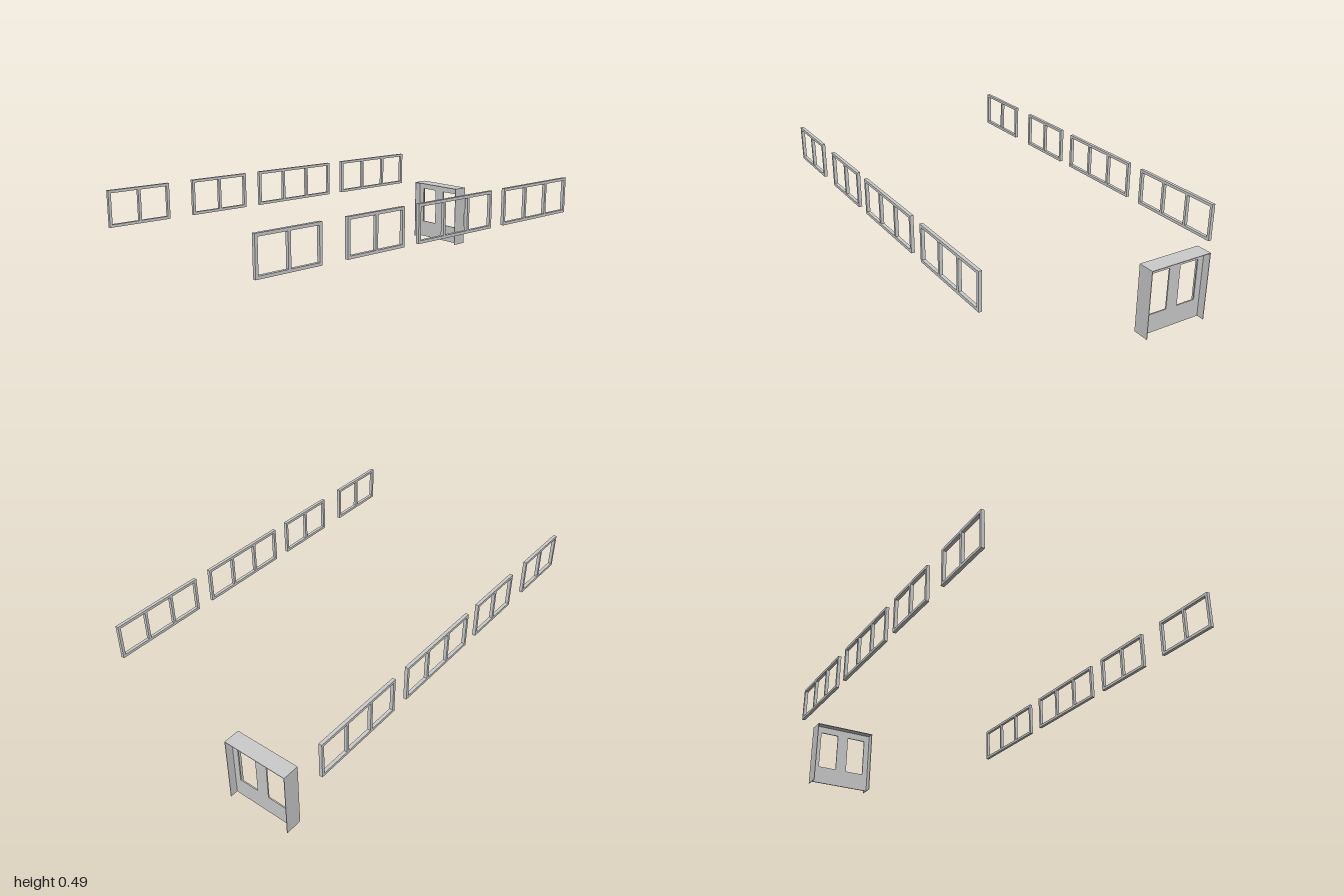
import * as THREE from 'three';

const material = new THREE.MeshStandardMaterial({ color: 0xcccccc, flatShading: true });

// Rectangular plate with rectangular holes [x0, x1, y0, y1], centred in depth
function plate(outer, holes, depth) {
  const rect = (path, [x0, x1, y0, y1]) => {
    path.moveTo(x0, y0);
    path.lineTo(x1, y0);
    path.lineTo(x1, y1);
    path.lineTo(x0, y1);
    path.closePath();
    return path;
  };
  const shape = rect(new THREE.Shape(), outer);
  shape.holes = holes.map((h) => rect(new THREE.Path(), h));
  const geometry = new THREE.ExtrudeGeometry(shape, { depth, bevelEnabled: false });
  return geometry.translate(0, 0, -depth / 2);
}

// Window frame with equal panes, lying along z
function windowFrame(length, panes) {
  const border = 0.0135, bar = 0.013, y0 = 0.315, y1 = 0.491;
  const pane = (length - 2 * border - (panes - 1) * bar) / panes;
  const holes = [];
  for (let i = 0; i < panes; i++) {
    const start = -length / 2 + border + i * (pane + bar);
    holes.push([start, start + pane, y0 + border, y1 - border]);
  }
  return plate([-length / 2, length / 2, y0, y1], holes, 0.016).rotateY(Math.PI / 2);
}

function createModel() {
  const group = new THREE.Group();
  const add = (name, geometry, x, y, z, parent = group) => {
    const mesh = new THREE.Mesh(geometry, material);
    mesh.name = name;
    mesh.position.set(x, y, z);
    parent.add(mesh);
  };

  // Window rows on both sides: [z start, z end, panes]
  const windows = [[0.683, 1, 2], [0.236, 0.553, 2], [-0.326, 0.152, 3], [-0.894, -0.414, 3]];
  for (const side of [-1, 1]) {
    windows.forEach(([z0, z1, panes], i) => {
      const name = `${side > 0 ? 'left' : 'right'}Window${i + 1}`;
      add(name, windowFrame(z1 - z0, panes), side * 0.585, 0, (z0 + z1) / 2);
    });
  }

  // Double door set midway in a thin, deep surround
  const door = new THREE.Group();
  door.name = 'doorway';
  door.position.set(-0.327, 0, -0.96);
  group.add(door);
  const width = 0.322, height = 0.328, depth = 0.08, wall = 0.003;
  for (const side of [-1, 1]) {
    add(side > 0 ? 'leftJamb' : 'rightJamb', new THREE.BoxGeometry(wall, height, depth),
      side * (width - wall) / 2, height / 2, 0, door);
  }
  add('lintel', new THREE.BoxGeometry(width - 2 * wall, wall, depth), 0, height - wall / 2, 0, door);
  const half = width / 2 - wall;
  add('doorPanel', plate([-half, half, 0, height - wall],
    [[-0.127, -0.029, 0.092, 0.29], [0.031, 0.129, 0.092, 0.29]], 0.006), 0, 0, 0, door);
  return group;
}

export { createModel };
